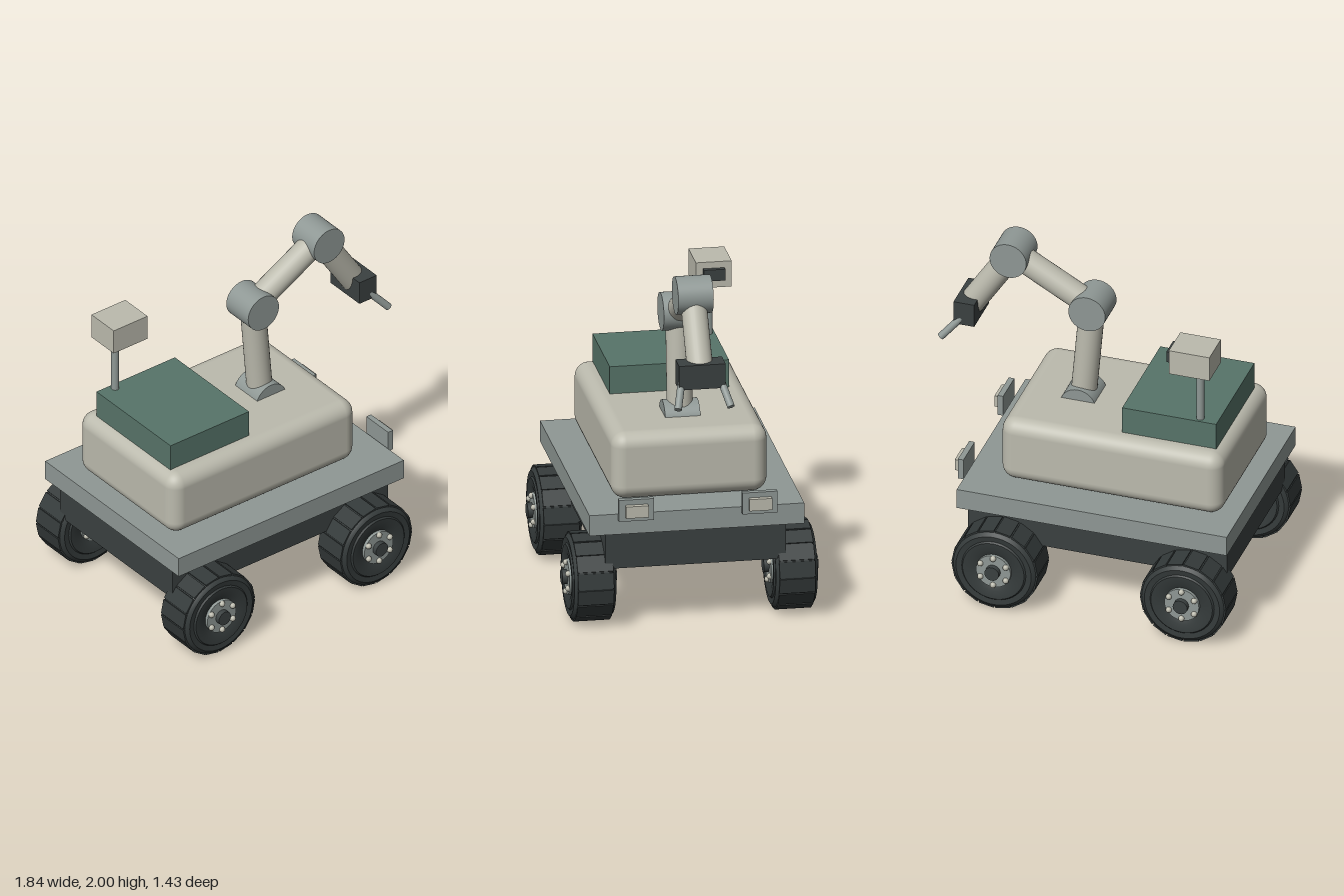
import * as THREE from 'three';
import { toCreasedNormals } from 'three/addons/utils/BufferGeometryUtils.js';
import { RoundedBoxGeometry } from 'three/addons/geometries/RoundedBoxGeometry.js';

const paint = (name, color) => Object.assign(new THREE.MeshStandardMaterial({ color }), { name });

export function createModel() {
  const model = new THREE.Group();
  model.name = 'rover';
  const dark = paint('charcoal', 0x3b4141);
  const rubber = paint('rubber', 0x343a3a);
  const grey = paint('grey', 0x8f9895);
  const cream = paint('cream', 0xbcbbae);
  const green = paint('green', 0x577469);

  const add = (name, geometry, material, x = 0, y = 0, z = 0, parent = model) => {
    const mesh = new THREE.Mesh(geometry, material);
    mesh.name = name;
    mesh.position.set(x, y, z);
    parent.add(mesh);
    return mesh;
  };
  // Box given by its lower and upper corners
  const box = (name, material, [x0, y0, z0], [x1, y1, z1]) =>
    add(name, new THREE.BoxGeometry(x1 - x0, y1 - y0, z1 - z0), material,
      (x0 + x1) / 2, (y0 + y1) / 2, (z0 + z1) / 2);
  // Round bar between two points
  const bar = (name, material, from, to, radius) => {
    const a = new THREE.Vector3(...from), b = new THREE.Vector3(...to);
    const dir = b.clone().sub(a), mid = a.clone().add(b).multiplyScalar(0.5);
    const mesh = add(name, new THREE.CylinderGeometry(radius, radius, dir.length(), 28), material, mid.x, mid.y, mid.z);
    mesh.quaternion.setFromUnitVectors(new THREE.Vector3(0, 1, 0), dir.normalize());
    return mesh;
  };
  const zCylinder = (radius, length, sides = 32) =>
    new THREE.CylinderGeometry(radius, radius, length, sides).rotateX(Math.PI / 2);

  // Chassis, deck and body
  box('chassis', dark, [-0.88, 0.355, -0.505], [0.62, 0.566, 0.505]);
  box('deck', grey, [-0.91, 0.566, -0.6], [0.655, 0.685, 0.6]);
  add('body', new RoundedBoxGeometry(1.285, 0.386, 0.87, 5, 0.08), cream, -0.177, 0.878, 0);
  box('equipmentBox', green, [-0.76, 1.06, -0.333], [-0.215, 1.23, 0.333]);

  // Camera on its mast
  bar('mast', grey, [-0.657, 1.2, -0.298], [-0.657, 1.56, -0.298], 0.022);
  box('cameraHousing', cream, [-0.743, 1.55, -0.4], [-0.508, 1.7, -0.2]);
  box('cameraLens', dark, [-0.515, 1.597, -0.36], [-0.48, 1.663, -0.24]);

  // Arm
  const joints = [[0.12, 1.035, 0], [0.068, 1.64, 0], [0.525, 1.895, 0], [0.77, 1.52, 0]];
  const jointRadii = [0.103, 0.107, 0.106];
  jointRadii.forEach((r, i) => {
    add('armJoint', zCylinder(r, 0.197, 40), grey, ...joints[i]);
    bar('armLink', cream, joints[i], joints[i + 1], 0.072);
  });
  box('gripper', dark, [0.71, 1.45, -0.13], [0.83, 1.59, 0.13]);

  for (const s of [-1, 1]) {
    bar('gripperFinger', grey, [0.785, 1.49, s * 0.108], [0.898, 1.362, s * 0.148], 0.021);
    // Headlights
    const z = s * 0.345;
    box('headlightPlate', grey, [0.668, 0.655, z - 0.098], [0.7, 0.78, z + 0.098]);
    box('headlightLamp', cream, [0.7, 0.682, z - 0.063], [0.73, 0.75, z + 0.063]);
    // Suspension rod
    bar('suspensionRod', dark, [-0.677, 0.352, s * 0.388], [0.1, 0.405, s * 0.388], 0.04);
  }

  // Wheel parts, with the axle along z
  const side = [[0.09, 0.1], [0.13, 0.118], [0.178, 0.122], [0.186, 0.113], [0.218, 0.117], [0.236, 0.104], [0.244, 0.09]];
  const profile = [...side.map(([r, h]) => [r, -h]), ...side.slice().reverse()]
    .map(([r, h]) => new THREE.Vector2(r, h));
  const tyre = toCreasedNormals(new THREE.LatheGeometry(profile, 48), 0.45).rotateX(Math.PI / 2);
  const lug = new THREE.BoxGeometry(0.088, 0.03, 0.2);
  const hub = zCylinder(0.1, 0.246, 36);
  const cap = zCylinder(0.042, 0.304, 20);
  const bolt = new THREE.SphereGeometry(0.017, 12, 8);

  for (const x of [-0.677, 0.415]) {
    for (const s of [-1, 1]) {
      const wheel = new THREE.Group();
      wheel.name = 'wheel';
      wheel.position.set(x, 0.25, s * 0.5625);
      model.add(wheel);
      add('tyre', tyre, rubber, 0, 0, 0, wheel);
      add('hub', hub, grey, 0, 0, 0, wheel);
      add('hubCap', cap, dark, 0, 0, 0, wheel);
      for (let i = 0; i < 16; i++) {
        const a = (i + 0.5) / 16 * Math.PI * 2;
        add('treadLug', lug, rubber, Math.sin(a) * 0.231, Math.cos(a) * 0.231, 0, wheel).rotation.z = -a;
      }
      for (let i = 0; i < 6; i++) {
        const a = i / 6 * Math.PI * 2;
        for (const f of [-1, 1]) {
          add('wheelBolt', bolt, cream, Math.sin(a) * 0.085, Math.cos(a) * 0.085, f * 0.127, wheel);
        }
      }
    }
  }
  return model;
}
